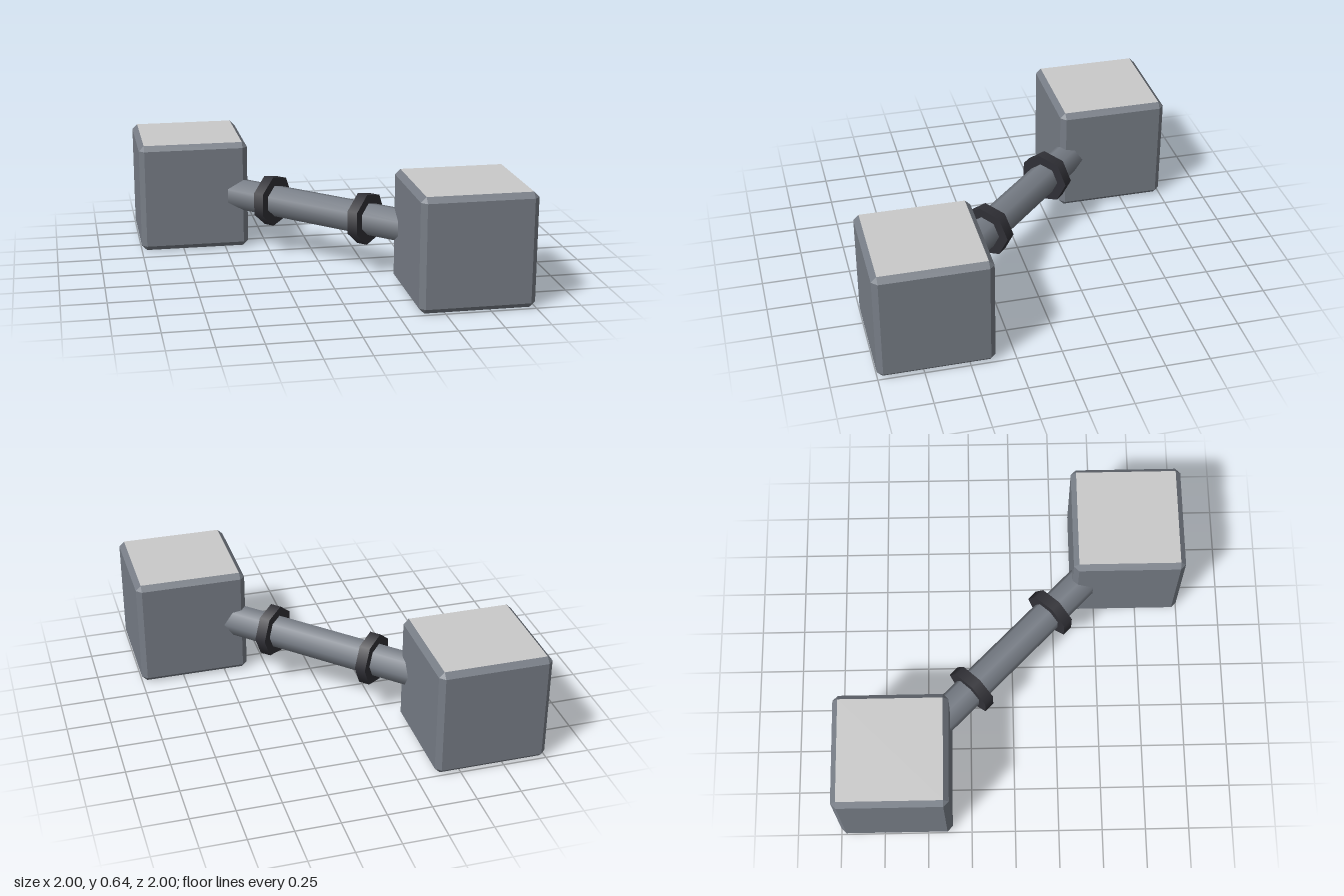
import * as THREE from 'three';
import { ConvexGeometry } from 'three/addons/geometries/ConvexGeometry.js';

const material = (name, color) => {
  const m = new THREE.MeshStandardMaterial({ color });
  m.name = name;
  return m;
};

// Cube with chamfered edges; group 0 = sides and chamfers, group 1 = flat top and bottom
function chamferedCube(size, chamfer) {
  const h = size / 2, k = h - chamfer, points = [];
  for (const x of [-1, 1]) for (const y of [-1, 1]) for (const z of [-1, 1])
    points.push(
      new THREE.Vector3(x * h, y * k, z * k),
      new THREE.Vector3(x * k, y * h, z * k),
      new THREE.Vector3(x * k, y * k, z * h));
  const geometry = new ConvexGeometry(points);
  const normal = geometry.attributes.normal;
  for (let i = 0; i < normal.count; i += 3)
    geometry.addGroup(i, 3, Math.abs(normal.getY(i)) > 0.99 ? 1 : 0);
  return geometry;
}

export function createModel() {
  const model = new THREE.Group();
  model.name = 'dumbbell';
  const steel = material('steel grey', 0x777d86);
  const pale = material('pale grey', 0xc9c9c9);
  const rubber = material('dark grey', 0x303036);

  const add = (name, geometry, mat, parent) => {
    const mesh = new THREE.Mesh(geometry, mat);
    mesh.name = name;
    parent.add(mesh);
    return mesh;
  };

  // Cube weights at opposite corners
  const cube = chamferedCube(0.64, 0.03);
  add('backWeight', cube, [steel, pale], model).position.set(-0.68, 0.32, -0.68);
  add('frontWeight', cube, [steel, pale], model).position.set(0.68, 0.32, 0.68);

  // Seven-sided handle along the diagonal, with local y as its axis
  const handle = new THREE.Group();
  handle.name = 'handle';
  handle.quaternion.setFromRotationMatrix(new THREE.Matrix4().makeBasis(
    new THREE.Vector3(0, 1, 0),
    new THREE.Vector3(1, 0, 1).normalize(),
    new THREE.Vector3(1, 0, -1).normalize()));
  handle.position.y = 0.32;
  model.add(handle);
  add('bar', new THREE.CylinderGeometry(0.095, 0.095, 1.4, 7), steel, handle);

  // Collars round the bar
  const collar = new THREE.CylinderGeometry(0.151, 0.151, 0.064, 7);
  add('backCollar', collar, rubber, handle).position.y = -0.33;
  add('frontCollar', collar, rubber, handle).position.y = 0.325;

  return model;
}
